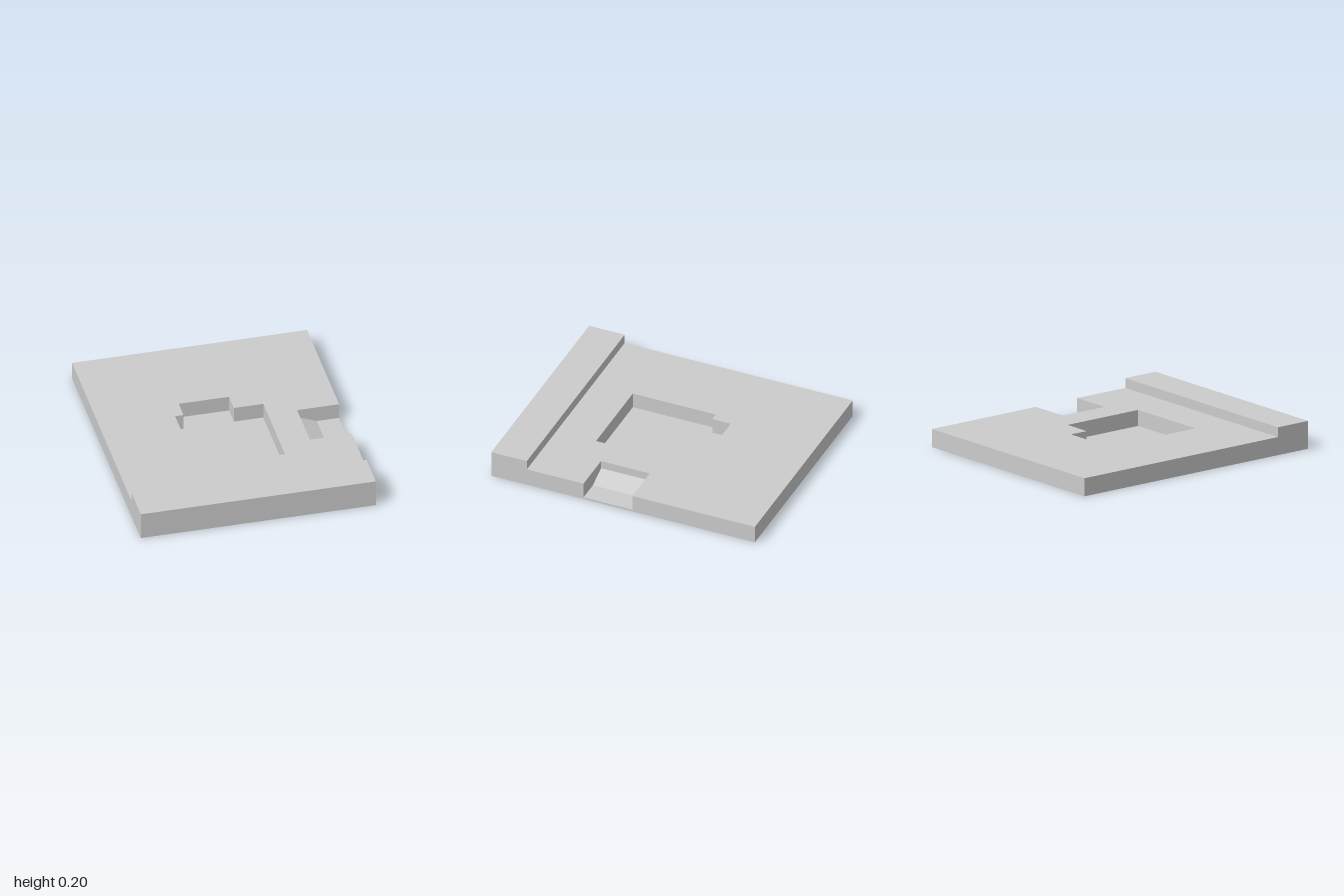
import * as THREE from 'three';

const HALF_W = 0.84, PLATE_TOP = 0.13, FLOOR = 0.015;
const RIDGE_TOP = 0.2, RIDGE_Z = 0.73;
const NOTCH = { x: 0.54, rampEnd: 0.68, rampTop: 0.07, back: -0.07, front: 0.3 };

const points = (list) => list.map(([x, y]) => new THREE.Vector2(x, y));

// Extrudes an (x, z) outline downward from the given top to y = 0
function slab(shape, top) {
  return new THREE.ExtrudeGeometry(shape, { depth: top, bevelEnabled: false })
    .rotateX(Math.PI / 2)
    .translate(0, top, 0);
}

export function createModel() {
  const group = new THREE.Group();
  const material = new THREE.MeshStandardMaterial({ color: 0xcccccc, flatShading: true });
  const add = (name, geometry) => {
    const mesh = new THREE.Mesh(geometry, material);
    mesh.name = name;
    group.add(mesh);
  };

  // Stepped recess outline: large square with a narrower tab at the back
  const recess = points([
    [-0.3, 0.43], [0.33, 0.43], [0.33, -0.2], [0.12, -0.2],
    [0.12, -0.34], [-0.24, -0.34], [-0.24, -0.2], [-0.3, -0.2],
  ]);

  // Main plate with the recess and the edge notch cut out
  const plate = new THREE.Shape(points([
    [-HALF_W, -1], [HALF_W, -1],
    [HALF_W, NOTCH.back], [NOTCH.x, NOTCH.back],
    [NOTCH.x, NOTCH.front], [HALF_W, NOTCH.front],
    [HALF_W, RIDGE_Z], [-HALF_W, RIDGE_Z],
  ]));
  plate.holes.push(new THREE.Path(recess));
  add('plate', slab(plate, PLATE_TOP));

  // Thin floor closing the recess
  add('recessFloor', slab(new THREE.Shape(recess), FLOOR));

  // Notch floor: flat at the edge, ramping up toward the inner wall
  const ramp = new THREE.Shape(points([
    [NOTCH.x, 0], [HALF_W, 0], [HALF_W, FLOOR],
    [NOTCH.rampEnd, FLOOR], [NOTCH.x, NOTCH.rampTop],
  ]));
  add('notchRamp', new THREE.ExtrudeGeometry(ramp, {
    depth: NOTCH.front - NOTCH.back, bevelEnabled: false,
  }).translate(0, 0, NOTCH.back));

  // Raised ridge along the front
  add('frontRidge', new THREE.BoxGeometry(2 * HALF_W, RIDGE_TOP, 1 - RIDGE_Z)
    .translate(0, RIDGE_TOP / 2, (1 + RIDGE_Z) / 2));

  return group;
}
